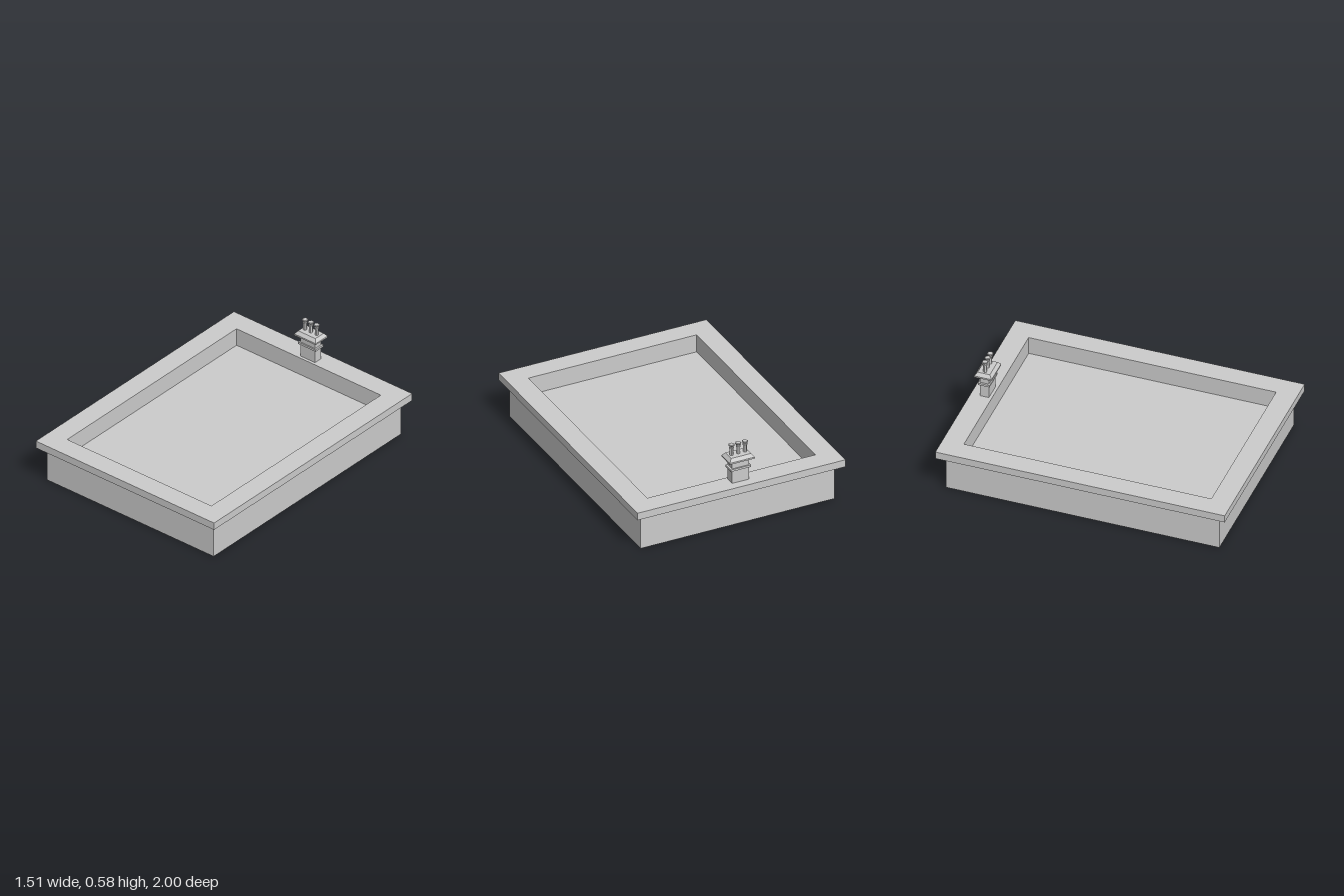
import * as THREE from 'three';

const material = new THREE.MeshStandardMaterial({ color: 0xcccccc, flatShading: true });

// Rectangular sections [halfX, halfZ, y] joined in order, closed at both ends
function rectLoft(name, sections) {
  const corners = [[1, 1], [1, -1], [-1, -1], [-1, 1]];
  const rings = sections.map(([hx, hz, y]) => corners.map(([sx, sz]) => [sx * hx, y, sz * hz]));
  const pos = [];
  const quad = (a, b, c, d) => pos.push(...a, ...b, ...c, ...a, ...c, ...d);
  for (let i = 0; i < rings.length - 1; i++) {
    for (let k = 0; k < 4; k++) {
      const n = (k + 1) % 4;
      quad(rings[i][k], rings[i][n], rings[i + 1][n], rings[i + 1][k]);
    }
  }
  quad(...[...rings[0]].reverse());
  quad(...rings[rings.length - 1]);
  const geo = new THREE.BufferGeometry();
  geo.setAttribute('position', new THREE.Float32BufferAttribute(pos, 3));
  geo.computeVertexNormals();
  const mesh = new THREE.Mesh(geo, material);
  mesh.name = name;
  return mesh;
}

// Hexagonal pot with a small collar and a flared lip
function makePot() {
  const profile = [
    [0, 0], [0.013, 0], [0.013, 0.051], [0.017, 0.053], [0.017, 0.058],
    [0.013, 0.06], [0.013, 0.068], [0.022, 0.074], [0.022, 0.078], [0.018, 0.081], [0, 0.081],
  ].map(([r, y]) => new THREE.Vector2(r, y));
  const pot = new THREE.Mesh(new THREE.LatheGeometry(profile, 6, Math.PI / 6), material);
  pot.name = 'chimneyPot';
  return pot;
}

export function createModel() {
  const model = new THREE.Group();
  model.name = 'flatRoof';

  // Walls, splayed cornice, parapet and sunken roof deck
  model.add(rectLoft('wallsAndParapet', [
    [0.705, 0.945, 0], [0.705, 0.945, 0.23], [0.755, 1, 0.255],
    [0.755, 1, 0.308], [0.611, 0.855, 0.308], [0.611, 0.855, 0.18],
  ]));

  // Chimney on the back parapet
  const chimney = new THREE.Group();
  chimney.name = 'chimney';
  chimney.position.set(-0.024, 0, -0.906);
  chimney.add(rectLoft('chimneyStack', [[0.061, 0.031, 0.306], [0.061, 0.031, 0.46]]));
  chimney.add(rectLoft('chimneyBand', [[0.074, 0.04, 0.402], [0.074, 0.04, 0.417]]));
  chimney.add(rectLoft('chimneyCap', [
    [0.061, 0.031, 0.453], [0.091, 0.06, 0.471], [0.091, 0.06, 0.482], [0.073, 0.042, 0.505],
  ]));
  for (let i = -1; i <= 1; i++) {
    const pot = makePot();
    pot.position.set(i * 0.049, 0.504, 0);
    chimney.add(pot);
  }
  model.add(chimney);
  return model;
}
